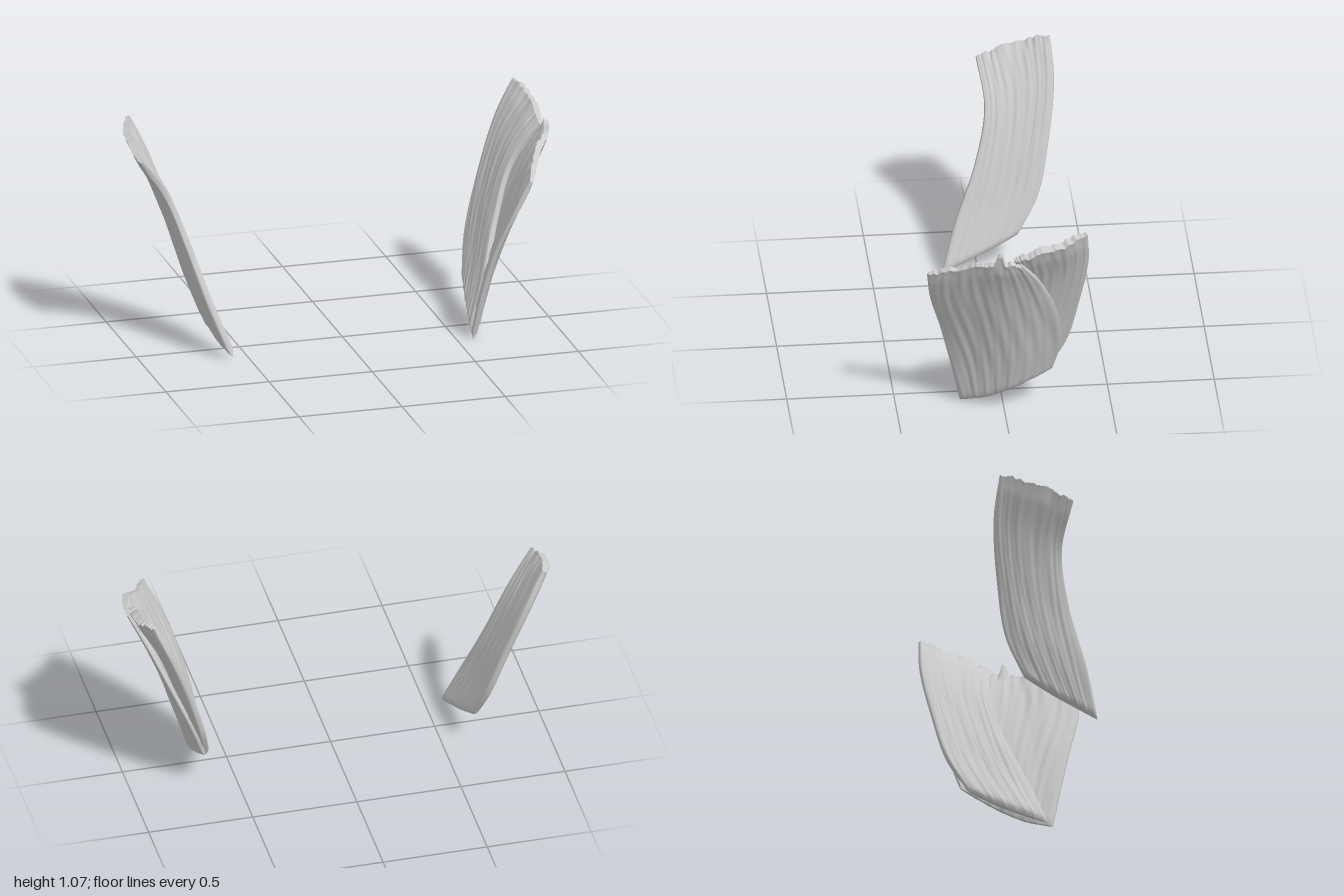
import * as THREE from 'three';

// Control sections of each muscle sheet, top to bottom; each runs front edge to back edge.
const DEEP = [
  [[0.965, 0.95, -0.022], [0.975, 0.99, -0.11], [0.972, 1.03, -0.25], [0.935, 1.068, -0.365]],
  [[0.83, 0.75, -0.05], [0.855, 0.79, -0.14], [0.865, 0.84, -0.27], [0.85, 0.87, -0.377]],
  [[0.74, 0.5, 0.005], [0.755, 0.53, -0.1], [0.765, 0.57, -0.23], [0.755, 0.6, -0.342]],
  [[0.66, 0.24, 0.105], [0.68, 0.28, -0.02], [0.692, 0.32, -0.155], [0.685, 0.36, -0.288]],
  [[0.58, 0.022, 0.172], [0.6, 0.058, 0.075], [0.622, 0.108, -0.05], [0.645, 0.175, -0.188]],
];
const SURFACE = [
  [[0.81, 0.81, 0.372], [0.89, 0.89, 0.19], [0.975, 0.94, 0.05], [0.982, 0.935, -0.06]],
  [[0.735, 0.65, 0.35], [0.815, 0.7, 0.18], [0.885, 0.76, 0.02], [0.912, 0.8, -0.15]],
  [[0.66, 0.45, 0.297], [0.745, 0.5, 0.14], [0.805, 0.54, -0.03], [0.81, 0.57, -0.24]],
  [[0.612, 0.24, 0.247], [0.68, 0.28, 0.1], [0.737, 0.32, -0.06], [0.718, 0.36, -0.258]],
  [[0.576, 0.002, 0.197], [0.625, 0.042, 0.07], [0.67, 0.11, -0.05], [0.66, 0.195, -0.225]],
];

// Smooth surface through the control sections
function makeSurface(sections) {
  const rows = sections.map(s => new THREE.CatmullRomCurve3(s.map(p => new THREE.Vector3(...p))));
  return (u, v) => new THREE.CatmullRomCurve3(rows.map(r => r.getPoint(u))).getPoint(v);
}

// Fibre grooves running down the sheet, wandering slightly
const fibres = (u, v) =>
  Math.sin(u * 47 + 2 * Math.sin(v * 5)) * 0.5 +
  Math.sin(u * 83 + 3 * Math.sin(v * 4 + u * 6)) * 0.4 +
  Math.sin(u * 19 + v * 9) * 0.4;

// Torn upper edge
const ragged = u =>
  0.004 * Math.sin(u * 37 + 2 * Math.sin(u * 9)) + 0.003 * Math.sin(u * 97 + 3 * Math.sin(u * 13)) + 0.004 * Math.sin(u * 17);

// Thinner at the torn top, rounded off at the bottom
function profile(v) {
  const end = Math.max(0, (v - 0.95) / 0.05);
  return (0.75 + 0.25 * THREE.MathUtils.smoothstep(v, 0, 0.1)) * Math.sqrt(1 - 0.92 * end * end);
}

// Closed sheet: rings of points around a thin lens section, closed at both ends
function sheetGeometry(sections, { side, thickness, groove, nub = 0 }) {
  const R = 160, V = 80, E = 0.01;
  const surface = makeSurface(sections);
  const pos = [], index = [];
  const face = (a, b, c) => (side > 0 ? index.push(a, b, c) : index.push(a, c, b));

  for (let i = 0; i <= V; i++) {
    const v = i / V;
    for (let j = 0; j < R; j++) {
      const a = (j / R) * Math.PI * 2;
      const u = 0.5 - 0.5 * Math.cos(a), s = Math.sin(a);
      const p = surface(u, v);
      const du = surface(Math.min(1, u + E), v).sub(surface(Math.max(0, u - E), v));
      const dv = surface(u, Math.min(1, v + E)).sub(surface(u, Math.max(0, v - E)));
      const normal = dv.cross(du).normalize();
      const lens = Math.abs(s) < 1e-6 ? 0 : Math.sign(s) * Math.abs(s) ** 0.45;
      p.addScaledVector(normal, lens * profile(v) * (thickness + groove * fibres(u, v)));
      const fade = Math.max(0, 1 - v * 14);
      p.y += fade * (ragged(u) + nub * Math.exp(-(((u - 0.68) / 0.045) ** 4)));
      pos.push(side * p.x, Math.max(0, p.y), p.z);
    }
  }
  for (let i = 0; i < V; i++) {
    for (let j = 0; j < R; j++) {
      const k = (j + 1) % R, a = i * R, b = a + R;
      face(a + j, b + j, a + k);
      face(a + k, b + j, b + k);
    }
  }
  // End caps, with their own vertices so the rims stay crisp
  for (const [row, top] of [[0, true], [V, false]]) {
    const base = pos.length / 3;
    pos.push(...pos.slice(row * R * 3, (row + 1) * R * 3));
    const tri = (x, y, z) => (top ? face(x, y, z) : face(x, z, y));
    for (let j = 0; j < R / 2; j++) {
      const a = base + j, b = base + j + 1;
      const c = base + ((R - j) % R), d = base + R - j - 1;
      if (j < R / 2 - 1) tri(b, d, c);
      if (j > 0) tri(a, b, c);
    }
  }
  const geometry = new THREE.BufferGeometry();
  geometry.setAttribute('position', new THREE.Float32BufferAttribute(pos, 3));
  geometry.setIndex(index);
  geometry.computeVertexNormals();
  return geometry;
}

export function createModel() {
  const group = new THREE.Group();
  const material = new THREE.MeshStandardMaterial({ color: 0xcccccc, roughness: 0.8 });
  const add = (name, sections, options) => {
    const mesh = new THREE.Mesh(sheetGeometry(sections, options), material);
    mesh.name = name;
    group.add(mesh);
  };

  // Deep sheet on both sides
  add('leftDeepMuscle', DEEP, { side: 1, thickness: 0.025, groove: 0.003 });
  add('rightDeepMuscle', DEEP, { side: -1, thickness: 0.025, groove: 0.003 });

  // Broad surface sheet lies over the left one only
  add('leftSurfaceMuscle', SURFACE, { side: 1, thickness: 0.019, groove: 0.004, nub: 0.055 });

  return group;
}
